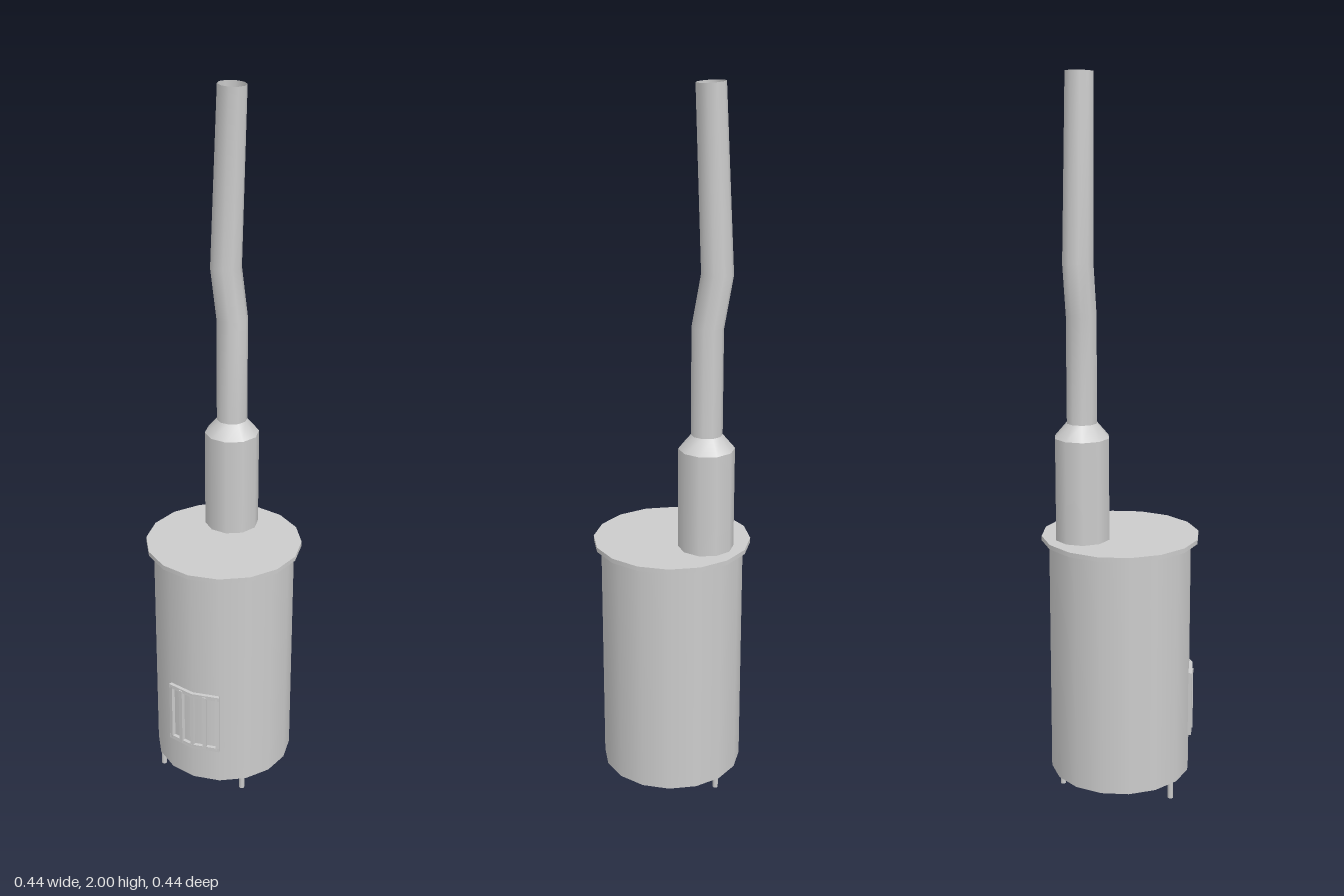
import * as THREE from 'three';

const grey = new THREE.MeshStandardMaterial({ color: 0xcccccc });
const greyOpen = new THREE.MeshStandardMaterial({ color: 0xcccccc, side: THREE.DoubleSide });

function add(parent, name, geometry, material = grey, x = 0, y = 0, z = 0) {
  const mesh = new THREE.Mesh(geometry, material);
  mesh.name = name;
  mesh.position.set(x, y, z);
  parent.add(mesh);
  return mesh;
}

// Smooth open tube through rings of [centre x, centre y, radius, tilt about z]
function loftRings(rings, z, sides) {
  const pos = [], index = [];
  rings.forEach(([cx, cy, r, tilt], i) => {
    for (let j = 0; j < sides; j++) {
      const a = (j / sides) * Math.PI * 2, dx = Math.sin(a) * r;
      pos.push(cx + dx * Math.cos(tilt), cy + dx * Math.sin(tilt), z + Math.cos(a) * r);
      if (i === 0) continue;
      const k = (j + 1) % sides, lo = (i - 1) * sides, hi = i * sides;
      index.push(lo + j, lo + k, hi + k, lo + j, hi + k, hi + j);
    }
  });
  const g = new THREE.BufferGeometry();
  g.setAttribute('position', new THREE.Float32BufferAttribute(pos, 3));
  g.setIndex(index);
  g.computeVertexNormals();
  return g;
}

// Block bent around the barrel: angles in degrees from the front towards +x
function curvedBlock(a0, a1, y0, y1, r0, r1, segments) {
  const g = new THREE.BoxGeometry(1, y1 - y0, 1, segments, 1, 1);
  const p = g.attributes.position;
  for (let i = 0; i < p.count; i++) {
    const a = THREE.MathUtils.degToRad(a0 + (p.getX(i) + 0.5) * (a1 - a0));
    const r = r0 + (p.getZ(i) + 0.5) * (r1 - r0);
    p.setXYZ(i, Math.sin(a) * r, p.getY(i) + (y0 + y1) / 2, Math.cos(a) * r);
  }
  g.computeVertexNormals();
  return g;
}

export function createModel() {
  const stove = new THREE.Group();
  stove.name = 'stove';

  // Barrel and its overhanging lid
  add(stove, 'barrel', new THREE.CylinderGeometry(0.2, 0.2, 0.685, 16), grey, 0, 0.3925);
  add(stove, 'lid', new THREE.CylinderGeometry(0.221, 0.221, 0.013, 16), grey, 0, 0.7415);

  // Chimney: wide collar, shoulder, then a crooked open pipe
  const px = -0.067, pz = -0.09;
  add(stove, 'chimneyCollar', new THREE.CylinderGeometry(0.077, 0.077, 0.29, 10, 1, true),
    greyOpen, px, 0.89, pz);
  add(stove, 'chimneyShoulder', new THREE.CylinderGeometry(0.043, 0.077, 0.04, 10, 1, true),
    greyOpen, px, 1.055, pz);
  add(stove, 'chimneyPipe', loftRings([
    [px, 1.07, 0.043, 0],
    [px, 1.37, 0.043, 0.09],
    [-0.093, 1.51, 0.043, -0.03 + 0.09],
    [-0.07, 1.994, 0.039, -0.06],
  ], pz, 10), greyOpen);

  // Curved grate on the front, hugging two facets of the barrel
  const grate = new THREE.Group();
  grate.name = 'grate';
  stove.add(grate);
  for (const [y0, name] of [[0.16, 'grateBottomRail'], [0.338, 'grateTopRail']]) {
    add(grate, name, curvedBlock(0, 45, y0, y0 + 0.012, 0.193, 0.21, 2));
  }
  for (let i = 0; i < 5; i++) {
    const a = i * 10.5;
    add(grate, 'grateBar', curvedBlock(a, a + 3, 0.165, 0.345, 0.19, 0.209, 1));
  }

  // Three short legs
  for (const [x, z] of [[0.16, 0.07], [-0.08, 0.17], [-0.08, -0.15]]) {
    add(stove, 'leg', new THREE.CylinderGeometry(0.008, 0.008, 0.06, 8), grey, x, 0.03, z);
  }
  return stove;
}
